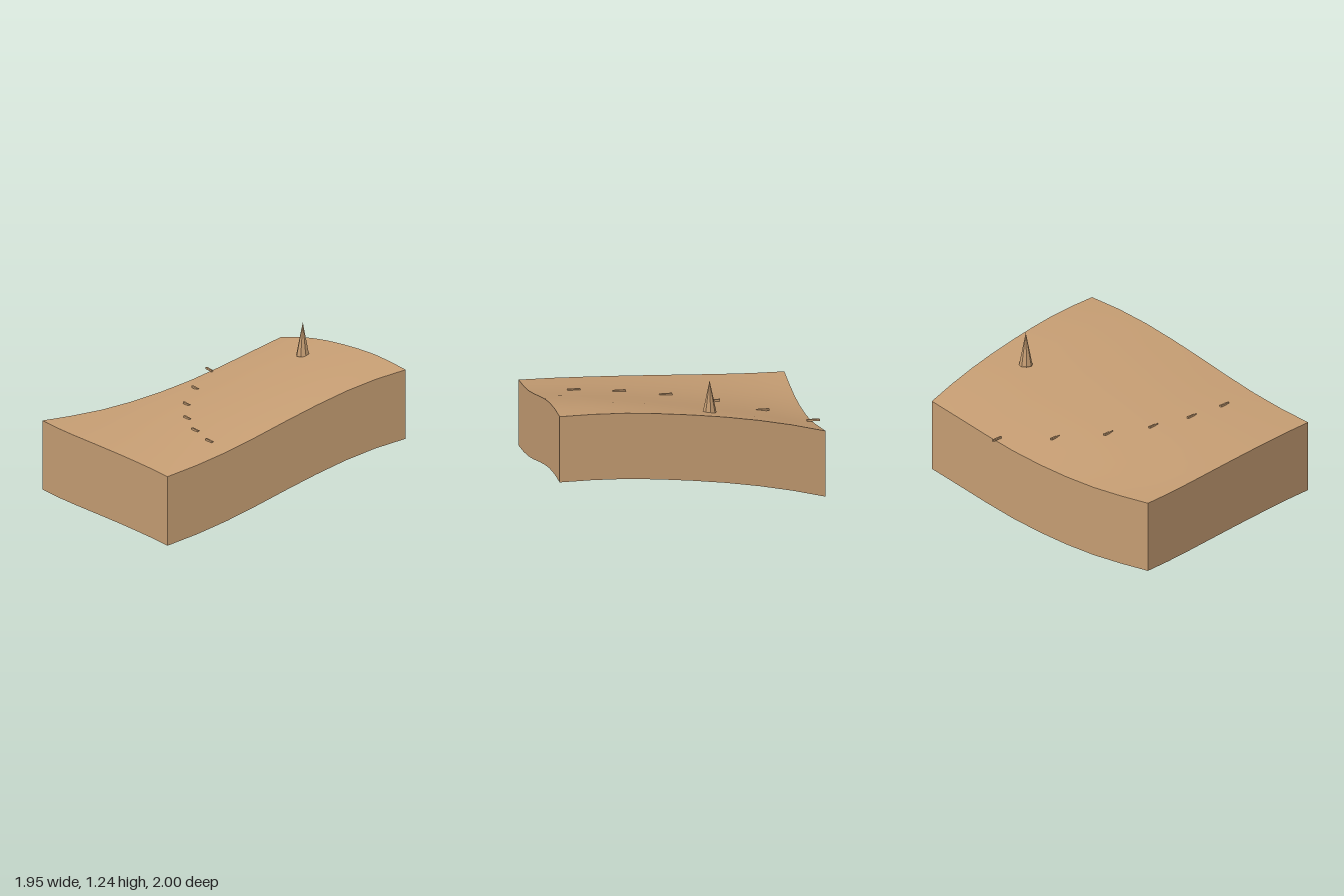
import * as THREE from 'three';

const SIZE = 1.95;      // side of the square tile
const CENTRE_Z = 0.0225;
const SKIRT = 0.52;     // height of the walls
const SEGMENTS = 8;

// Heights along the four edges: front and back run -x to +x, the sides run back to front
const FRONT = [0.585, 0.64, 0.708, 0.79, 0.878, 0.962, 1.037, 1.095, 1.135];
const BACK = [0.52, 0.525, 0.538, 0.567, 0.61, 0.666, 0.737, 0.815, 0.892];
const LEFT = [0.892, 0.956, 1.008, 1.05, 1.083, 1.11, 1.13, 1.137, 1.135];
const RIGHT = [0.52, 0.523, 0.532, 0.544, 0.556, 0.567, 0.576, 0.583, 0.585];

const { lerp, clamp } = THREE.MathUtils;

function sample(edge, t) {
  const f = clamp(t, 0, 1) * SEGMENTS;
  const i = Math.min(Math.floor(f), SEGMENTS - 1);
  return lerp(edge[i], edge[i + 1], f - i);
}

// Surface height blended from the four edges
function heightAt(x, z) {
  const s = clamp(x / SIZE + 0.5, 0, 1);
  const t = clamp((z - CENTRE_Z) / SIZE + 0.5, 0, 1);
  const alongZ = lerp(sample(BACK, s), sample(FRONT, s), t);
  const alongX = lerp(sample(RIGHT, t), sample(LEFT, t), s);
  const corners = lerp(lerp(BACK[0], BACK[8], s), lerp(FRONT[0], FRONT[8], s), t);
  return alongZ + alongX - corners;
}

export function createModel() {
  const model = new THREE.Group();
  model.name = 'terrainTile';
  const earth = new THREE.MeshStandardMaterial({ color: 0xc49c72, side: THREE.DoubleSide });
  earth.name = 'sandyEarth';

  function add(name, geometry) {
    const mesh = new THREE.Mesh(geometry, earth);
    mesh.name = name;
    model.add(mesh);
    return mesh;
  }

  // Rolling ground
  const ground = new THREE.PlaneGeometry(SIZE, SIZE, SEGMENTS, SEGMENTS)
    .rotateX(-Math.PI / 2).translate(0, 0, CENTRE_Z);
  const g = ground.attributes.position;
  for (let i = 0; i < g.count; i++) g.setY(i, heightAt(g.getX(i), g.getZ(i)));
  ground.computeVertexNormals();
  add('ground', ground);

  // Skirt walls following the ground edge, open underneath
  ['frontWall', 'leftWall', 'backWall', 'rightWall'].forEach((name, k) => {
    const wall = new THREE.PlaneGeometry(SIZE, 1, SEGMENTS, 1)
      .translate(0, 0, SIZE / 2).rotateY(k * Math.PI / 2).translate(0, 0, CENTRE_Z);
    const p = wall.attributes.position;
    for (let i = 0; i < p.count; i++) {
      const top = heightAt(p.getX(i), p.getZ(i));
      p.setY(i, p.getY(i) > 0 ? top : top - SKIRT);
    }
    add(name, wall);
  });

  // Eight-sided spire
  const spire = new THREE.ConeGeometry(0.05, 0.25, 8).toNonIndexed();
  spire.computeVertexNormals();
  add('spire', spire).position.set(0.73, 1.115, -0.14);

  // Half-buried path markers, back to front
  [0.39, 0.105, -0.135, -0.3, -0.405, -0.46].forEach((x, i) => {
    const z = -0.9525 + i * SIZE / 6;
    const lift = i === 0 ? 0.017 : 0.004;
    add('pathMarker', new THREE.BoxGeometry(0.014, 0.014, 0.095))
      .position.set(x, heightAt(x, z) + lift, z);
  });

  return model;
}
